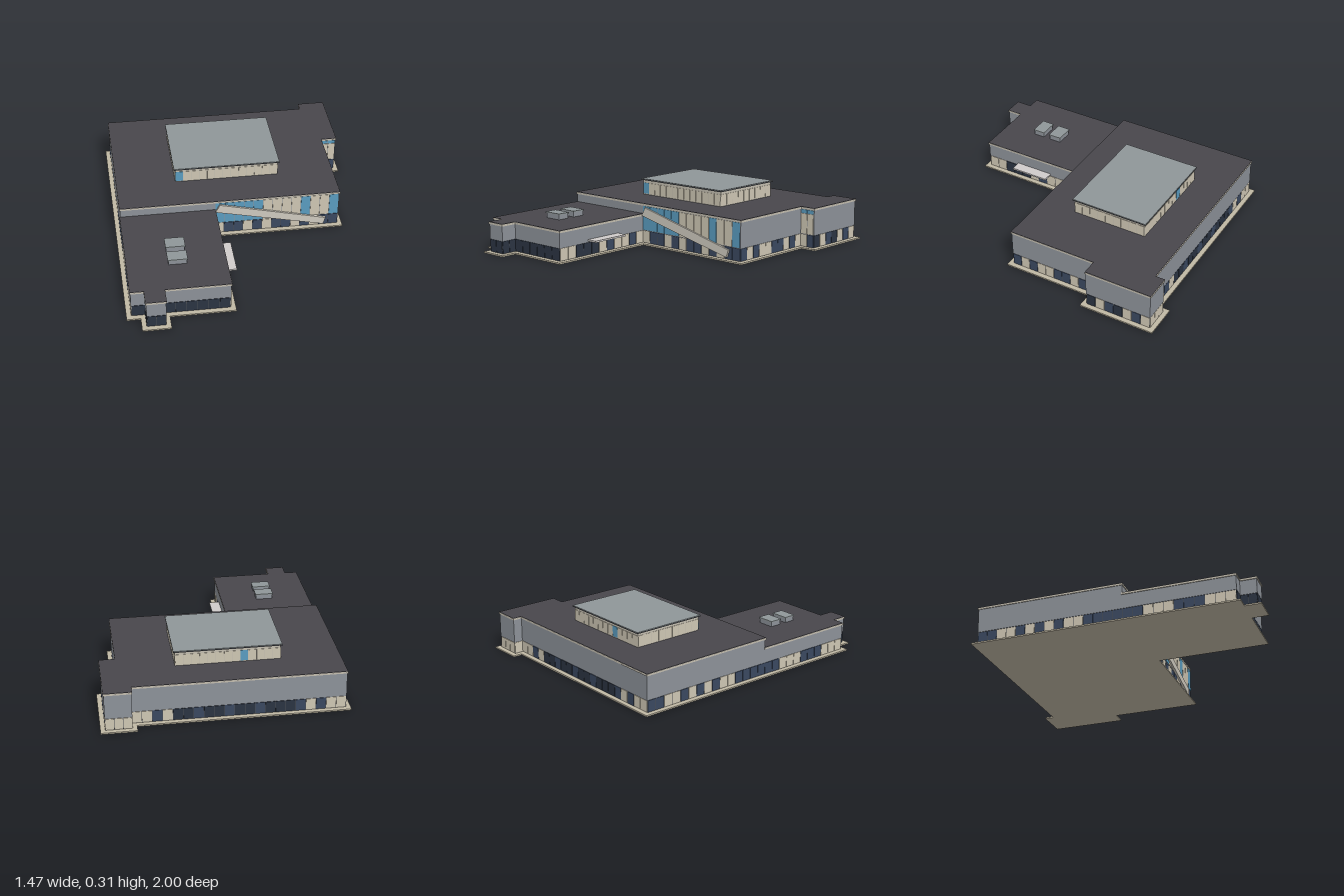
import * as THREE from 'three';

const mat = (color, extra = {}) => new THREE.MeshStandardMaterial({ color, ...extra });
const M = {
  wall: mat(0x8d9299), roof: mat(0x48464c), cap: mat(0xc4beb0), site: mat(0xc0b8a4),
  frame: mat(0x4a4d52), skylight: mat(0x8f9698), canopy: mat(0xd0cccb), stair: mat(0xcfcabf),
};
// Pane colours: B blind, N navy glass, D dark glass, L light blue glass
const PANES = { B: mat(0xcfc7b4), N: mat(0x3a4860), D: mat(0x2b3442), L: mat(0x5a9cc0) };

// Plans are [u, v] outlines, listed so the outside is at (dv, -du) of each edge
const HALL = [[-.468, -.53], [.65, -.53], [.65, -.582], [.79, -.582], [.79, -.215], [.705, -.215], [.705, .28], [-.468, .28]];
const ANNEX = [[-.468, .28], [.035, .28], [.035, .88], [-.30, .88], [-.30, .967], [-.398, .967], [-.398, .88], [-.468, .88]];
const WHOLE = [...HALL.slice(0, 7), ...ANNEX.slice(1)];
const rect = (u0, u1, v0, v1) => [[u0, v0], [u1, v0], [u1, v1], [u0, v1]];

const normal = (a, b) => {
  const l = Math.hypot(b[0] - a[0], b[1] - a[1]);
  return [(b[1] - a[1]) / l, (a[0] - b[0]) / l];
};

// Push every edge of a right-angled plan outwards by d
function offset(plan, d) {
  const n = plan.length;
  return plan.map((p, i) => {
    const n0 = normal(plan[(i + n - 1) % n], p), n1 = normal(p, plan[(i + 1) % n]);
    return [p[0] + d * (n0[0] + n1[0]), p[1] + d * (n0[1] + n1[1])];
  });
}

// Vertical prism over a plan
function prism(name, plan, y0, y1, material) {
  const shape = new THREE.Shape(plan.map(([u, v]) => new THREE.Vector2(u, -v)));
  const geo = new THREE.ExtrudeGeometry(shape, { depth: y1 - y0, bevelEnabled: false });
  geo.rotateX(-Math.PI / 2).translate(0, y0, 0);
  const mesh = new THREE.Mesh(geo, material);
  mesh.name = name;
  return mesh;
}

// Row of panes along the edge a-b, one per letter of the pattern
function paneRow(name, a, b, pattern, y0, y1) {
  const row = new THREE.Group();
  row.name = name;
  const du = b[0] - a[0], dv = b[1] - a[1];
  const n = pattern.length, w = Math.hypot(du, dv) / n;
  const geo = new THREE.BoxGeometry(w - .003, y1 - y0, .004);
  [...pattern].forEach((k, i) => {
    const t = (i + .5) / n;
    const pane = new THREE.Mesh(geo, PANES[k]);
    pane.name = 'pane';
    pane.position.set(a[0] + du * t, (y0 + y1) / 2, a[1] + dv * t);
    pane.rotation.y = Math.atan2(-dv, du);
    row.add(pane);
  });
  return row;
}

// Upper wall, pale parapet band and dark roof of one wing
function wing(name, plan, top) {
  const g = new THREE.Group();
  g.name = name;
  g.add(
    prism('upperWall', plan, .075, top - .012, M.wall),
    prism('parapetBand', offset(plan, .004), top - .012, top - .002, M.cap),
    prism('roof', offset(plan, .003), top - .002, top, M.roof),
  );
  return g;
}

export function createModel() {
  const model = new THREE.Group();
  model.name = 'building';
  const plan = new THREE.Group();
  plan.name = 'rotatedPlan';
  plan.rotation.y = Math.PI / 4;
  model.add(plan);

  // Site slab and the two wings
  plan.add(
    prism('siteSlab', offset(WHOLE, .024), 0, .008, M.site),
    prism('groundFloorFrame', offset(WHOLE, -.003), .008, .075, M.frame),
    wing('hall', HALL, .22),
    wing('annex', ANNEX, .165),
  );

  // Ground floor windows, one pattern per edge of the plan
  const ground = [
    'BBNBNDDDNDDNDDNDDBNBB', 'B', 'BBB', 'BNBDNBD', 'NB', 'BNBNNBBNBN', 'NNBNBNNBNBNNB',
    'BNBBNBDDDBB', 'DDDDDD', 'DD', 'DD', 'DD', 'D', 'BBBNNNBBBNNNNNNBBNBNBNBBNN',
  ];
  const line = offset(WHOLE, -.002);
  ground.forEach((pattern, i) =>
    plan.add(paneRow('groundWindows', line[i], line[(i + 1) % line.length], pattern, .01, .073)));

  // Tall glazing above the entrance court and beside the end bay
  plan.add(
    paneRow('courtGlazing', [.703, .281], [.037, .281], 'LBBLBBBBLLLLL', .078, .206),
    paneRow('bayGlazing', [.788, -.214], [.707, -.214], 'BB', .078, .185),
    paneRow('bayTopGlazing', [.788, -.214], [.707, -.214], 'LL', .187, .206),
  );

  // Sloping stair band across the court glazing
  const band = new THREE.Shape([[.06, .2], [.037, .155], [.622, .02], [.636, .06]].map((p) => new THREE.Vector2(...p)));
  const stair = new THREE.Mesh(new THREE.ExtrudeGeometry(band, { depth: .012, bevelEnabled: false }), M.stair);
  stair.name = 'stairBand';
  stair.position.z = .281;
  plan.add(stair);

  // Entrance canopy
  plan.add(prism('canopy', rect(.034, .092, .47, .686), .08, .089, M.canopy));

  // Raised clerestory on the hall
  const lantern = rect(-.152, .404, -.337, .08);
  plan.add(
    prism('clerestoryWall', lantern, .219, .3, M.cap),
    prism('clerestoryRoof', offset(lantern, .008), .3, .307, M.skylight),
    prism('clerestoryRoofEdge', offset(lantern, .009), .299, .304, M.frame),
  );
  ['BBBBLBBBBBBBB', 'BBBBBBBBB', 'BBBBBBBBBBBBL', 'BBBBBBBBB'].forEach((pattern, i) =>
    plan.add(paneRow('clerestoryWindows', lantern[i], lantern[(i + 1) % 4], pattern, .225, .284)));

  // Two roof lights on the annex
  for (const [v0, v1] of [[.525, .599], [.633, .702]]) {
    plan.add(
      prism('roofLightCurb', rect(-.259, -.165, v0 + .004, v1 - .004), .164, .19, M.wall),
      prism('roofLight', rect(-.263, -.161, v0, v1), .19, .197, M.skylight),
    );
  }
  return model;
}
